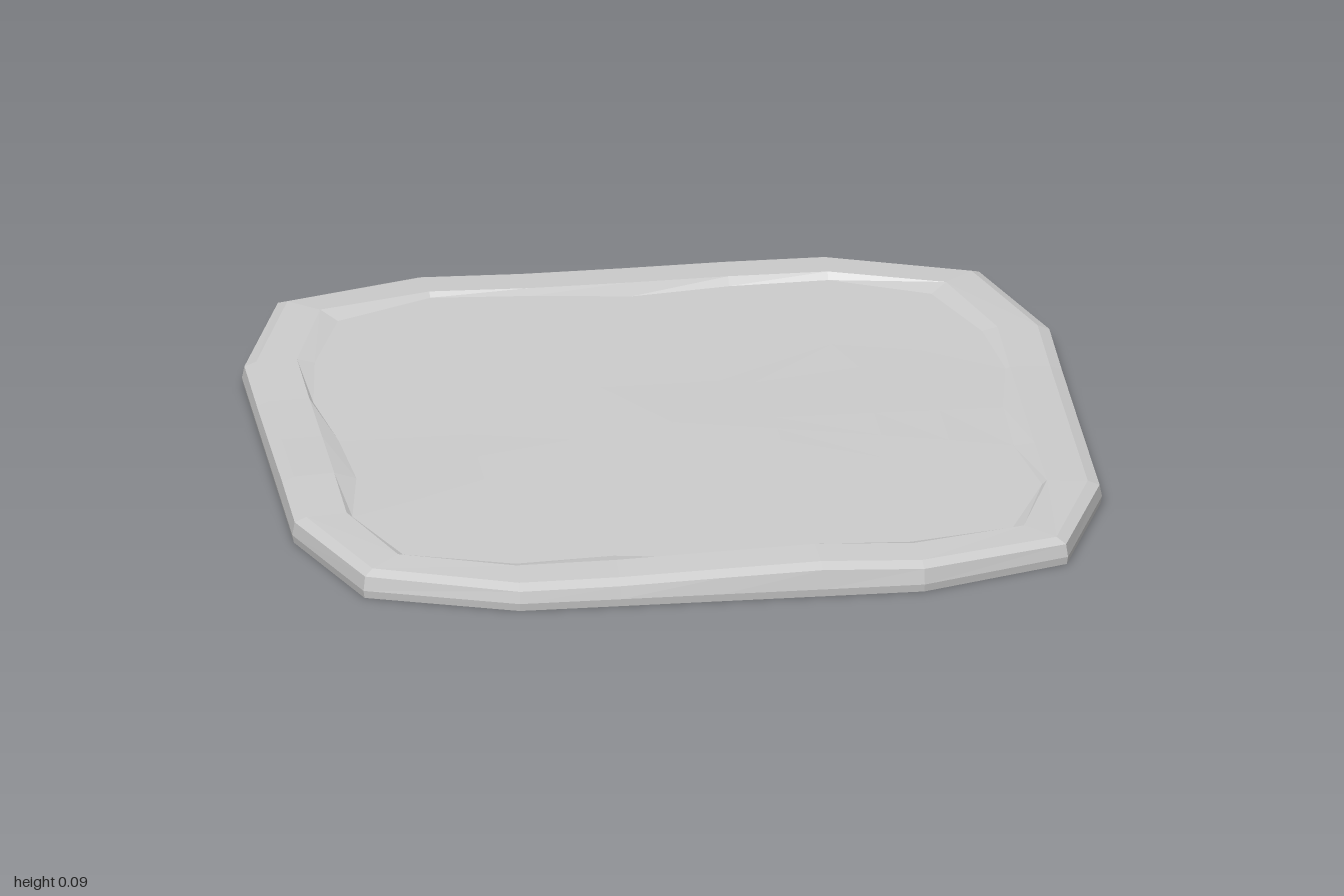
import * as THREE from 'three';

// Rim heights anticlockwise from the front: five along a side, then its corner
const RIM = [
  0.066, 0.068, 0.077, 0.085, 0.075, 0.068, // front
  0.066, 0.063, 0.060, 0.058, 0.062, 0.068, // left (+x)
  0.072, 0.072, 0.068, 0.066, 0.070, 0.075, // back
  0.066, 0.064, 0.068, 0.073, 0.070, 0.072, // right (-x)
];
const N = RIM.length;

// Point on the outline; inset pulls the sides inward and keeps their length
function outline(i, inset) {
  const k = i % 6;
  let x = k < 5 ? (-0.5 + k * 0.25) * (1 - inset * 0.12) : 0.87 - inset * 0.72;
  let z = k < 5 ? 1 - inset : 0.87 - inset * 0.72;
  for (let s = 0; s < Math.floor(i / 6); s++) [x, z] = [z, -x];
  return [x, z];
}

// Gentle unevenness of the floor
const floorY = (x, z) => 0.056 + 0.003 * Math.sin(3.1 * x + 1) * Math.cos(2.6 * z) + 0.002 * Math.sin(5 * z + x);

function ring(inset, scale, height) {
  return RIM.map((h, i) => {
    const [x, z] = outline(i, inset).map(v => v * scale);
    return [x, height(h, x, z, i), z];
  });
}

function skin(rings) {
  const pos = [];
  for (let r = 0; r < rings.length - 1; r++) {
    for (let i = 0; i < N; i++) {
      const j = (i + 1) % N;
      const a = rings[r][i], b = rings[r][j], c = rings[r + 1][j], d = rings[r + 1][i];
      if (r > 0) pos.push(...a, ...b, ...c);
      if (r < rings.length - 2) pos.push(...a, ...c, ...d);
    }
  }
  const g = new THREE.BufferGeometry();
  g.setAttribute('position', new THREE.Float32BufferAttribute(pos, 3));
  g.computeVertexNormals();
  return g;
}

export function createModel() {
  const group = new THREE.Group();
  group.name = 'stoneSlab';

  const rings = [
    ring(0, 0, () => 0),                            // underside centre
    ring(0.004, 1, () => 0),                        // underside edge
    ring(0, 1, () => 0.02),                         // foot of the side
    ring(0.006, 1, h => h - 0.016),                 // top of the side
    ring(0.035, 1, h => h - 0.004),                 // worn outer bevel
    ring(0.135, 1, h => h),                         // inner rim edge
    // floor edge, wavering in width
    RIM.map((h, i) => {
      const [x, z] = outline(i, 0.17 + 0.025 * Math.sin(i * 1.9));
      return [x, floorY(x, z), z];
    }),
    ...[0.66, 0.5, 0.25, 0].map(s => ring(0.17, s / 0.83, (h, x, z) => floorY(x, z))),
  ];

  const material = new THREE.MeshStandardMaterial({ color: 0xcccccc, flatShading: true });
  const slab = new THREE.Mesh(skin(rings), material);
  slab.name = 'slab';
  group.add(slab);
  return group;
}
